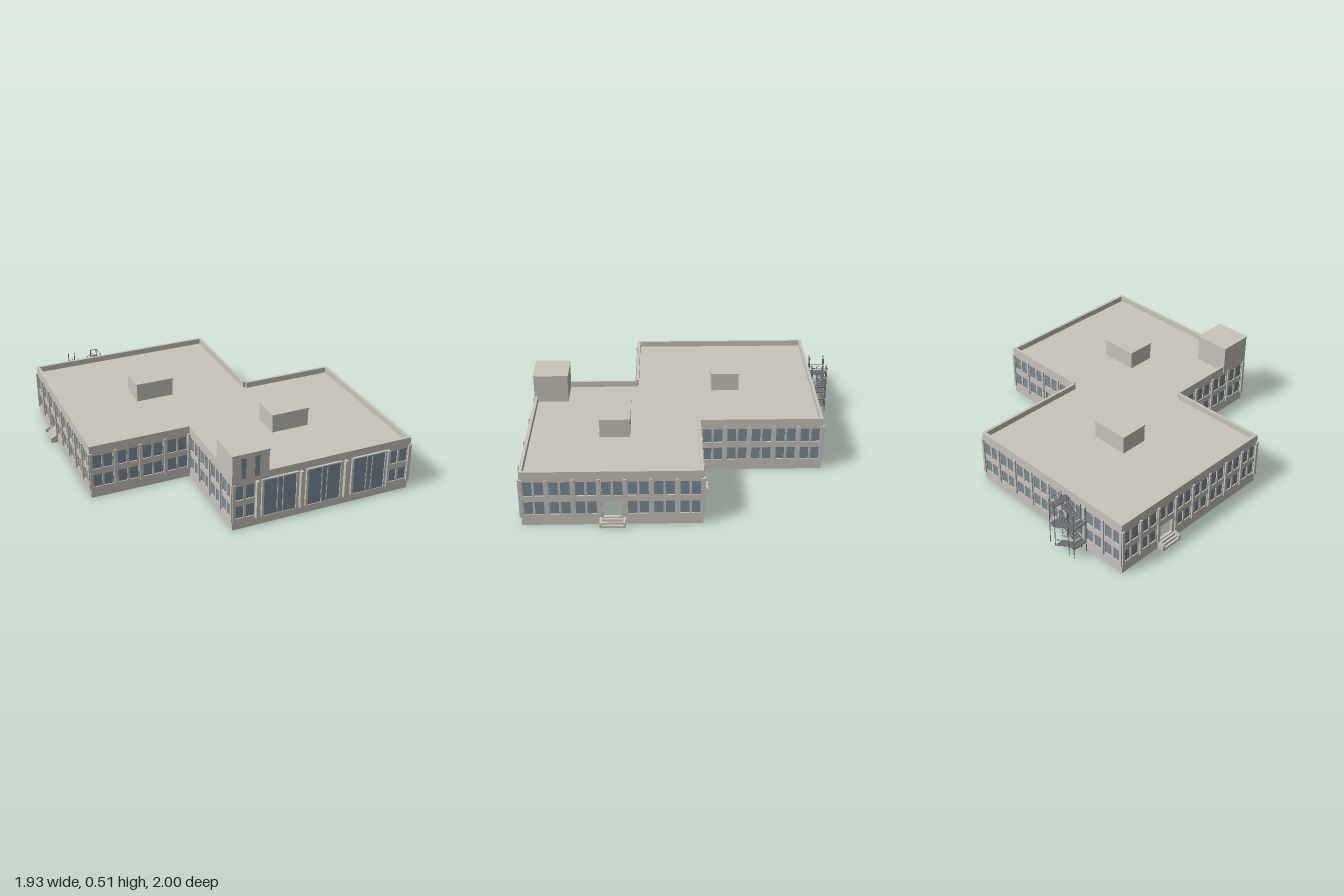
import * as THREE from 'three';

const mat = (name, color) => Object.assign(new THREE.MeshStandardMaterial({ color }), { name });
const stone = mat('stone', 0xc8c4bb);
const glass = mat('glass', 0x7a8d9b);
const steel = mat('steel', 0x6c6f74);
const roofMat = mat('roof', 0xc8c4bb);
roofMat.side = THREE.DoubleSide;

const T = 0.018; // wall thickness
const H = 0.36; // parapet height

// Footprint corners as [x, z], walked with the outside on the right hand
const plan = [[-0.92, 0.32], [-0.27, 0.32], [-0.27, 0.975], [0.92, 0.975],
  [0.92, -0.095], [0.305, -0.095], [0.305, -0.87], [-0.92, -0.87]];

// Box given by its low and high corners
function box(parent, name, material, x0, x1, y0, y1, z0, z1) {
  const m = new THREE.Mesh(new THREE.BoxGeometry(x1 - x0, y1 - y0, z1 - z0), material);
  m.position.set((x0 + x1) / 2, (y0 + y1) / 2, (z0 + z1) / 2);
  m.name = name;
  parent.add(m);
  return m;
}

// Thin bar between two points
function bar(parent, name, a, b, r = 0.0022) {
  const p = new THREE.Vector3(...a), q = new THREE.Vector3(...b);
  const d = q.clone().sub(p);
  const m = new THREE.Mesh(new THREE.CylinderGeometry(r, r, d.length(), 4), steel);
  m.position.copy(p).add(q).multiplyScalar(0.5);
  m.quaternion.setFromUnitVectors(new THREE.Vector3(0, 1, 0), d.normalize());
  m.name = name;
  parent.add(m);
}

function hole(shape, x0, x1, y0, y1) {
  const h = new THREE.Path();
  h.moveTo(x0, y0).lineTo(x0, y1).lineTo(x1, y1).lineTo(x1, y0).closePath();
  shape.holes.push(h);
}

// Entrance steps between two sloping cheeks, in wall space
function entranceSteps(parent, x0, x1) {
  const cheek = new THREE.Shape();
  cheek.moveTo(0, 0).lineTo(0.045, 0).lineTo(0.045, 0.035).lineTo(0.012, 0.05).lineTo(0, 0.05).closePath();
  const geo = new THREE.ExtrudeGeometry(cheek, { depth: 0.014, bevelEnabled: false });
  for (const x of [x0 + 0.014, x1]) {
    const m = new THREE.Mesh(geo, stone);
    m.rotation.y = -Math.PI / 2;
    m.position.x = x;
    m.name = 'stepCheek';
    parent.add(m);
  }
  for (let i = 0; i < 3; i++) {
    box(parent, 'step', stone, x0 + 0.014, x1 - 0.014, 0, 0.014 * (i + 1), 0, 0.043 - i * 0.014);
  }
}

// One wall: local x runs along it, local z points outwards
function buildWall(root, name, a, b, bays, { door = -1, halls = [] } = {}) {
  const g = new THREE.Group();
  g.name = name;
  const dx = b[0] - a[0], dz = b[1] - a[1], L = Math.hypot(dx, dz);
  g.position.set(a[0], 0, a[1]);
  g.rotation.y = Math.atan2(-dz, dx);
  root.add(g);

  const shape = new THREE.Shape();
  shape.moveTo(0, 0).lineTo(L, 0).lineTo(L, H).lineTo(0, H).closePath();

  bays.forEach(([s, e], i) => {
    const w = e - s, mid = (s + e) / 2;
    // Two windows per storey in each bay
    for (const [y0, y1] of [[0.072, 0.158], [0.198, 0.292]]) {
      if (i === door && y0 < 0.1) continue;
      for (const [x0, x1] of [[s + 0.1 * w, mid - 0.007], [mid + 0.007, e - 0.1 * w]]) {
        hole(shape, x0, x1, y0, y1);
        box(g, 'window', glass, x0, x1, y0, y1, -0.011, -0.007);
      }
    }
    // Open doorway with steps
    if (i === door) {
      hole(shape, s + 0.02, e - 0.026, 0.05, 0.155);
      entranceSteps(g, s, e);
    }
    // Pilasters at bay edges
    for (const x of [s, e]) {
      if (x === e && i < bays.length - 1 && Math.abs(bays[i + 1][0] - e) < 0.01) continue;
      const c = Math.min(Math.max(x, 0.006), L - 0.006);
      box(g, 'pilaster', stone, c - 0.009, c + 0.009, 0.055, 0.31, -0.004, 0.01);
    }
  });

  // Tall projecting hall windows with mullions, sill and lintel
  for (const [s, e] of halls) {
    hole(shape, s, e, 0.06, 0.305);
    box(g, 'hallWindow', glass, s, e, 0.06, 0.305, 0.002, 0.011);
    box(g, 'hallLintel', stone, s - 0.006, e + 0.006, 0.305, 0.312, -0.004, 0.015);
    box(g, 'hallSill', stone, s - 0.006, e + 0.006, 0.052, 0.06, -0.004, 0.015);
    const m = (s + e) / 2;
    for (const x of [m - 0.018, m + 0.018]) box(g, 'hallMullion', stone, x - 0.003, x + 0.003, 0.06, 0.305, 0, 0.014);
    for (const x of [s - 0.009, e + 0.009]) box(g, 'hallSidePier', stone, x - 0.007, x + 0.007, 0.055, 0.31, -0.004, 0.015);
  }

  const geo = new THREE.ExtrudeGeometry(shape, { depth: T, bevelEnabled: false });
  const m = new THREE.Mesh(geo, stone);
  m.position.z = -T;
  m.name = name + 'Shell';
  g.add(m);
  return g;
}

const evenBays = (L, n) => Array.from({ length: n }, (_, i) => [(L * i) / n, (L * (i + 1)) / n]);

// Switchback steel stair on the back wall
function fireEscape(root) {
  const g = new THREE.Group();
  g.name = 'fireEscape';
  root.add(g);
  const xl = -0.66, xr = -0.45, zi = -0.9, zo = -0.998, zm = -0.949;
  const xa = -0.615, xb = -0.495;
  for (const x of [xl + 0.003, xa, xb, xr - 0.003]) {
    for (const z of [zi, zo]) bar(g, 'post', [x, 0.02, z], [x, 0.352, z], 0.003);
  }
  box(g, 'roofBridge', steel, xb, xr, 0.305, 0.311, zi, -0.865);
  const levels = [0.308, 0.236, 0.164, 0.092, 0.022];
  levels.forEach((y, i) => {
    const right = i % 2 === 0;
    const x0 = right ? xb : xl, x1 = right ? xr : xa;
    if (i < 4) {
      box(g, 'landing', steel, x0, x1, y - 0.003, y + 0.003, zo, zi);
      const xe = right ? xr : xl;
      bar(g, 'landingRail', [xe, y + 0.042, zi], [xe, y + 0.042, zo]);
      bar(g, 'landingRail', [x0, y + 0.042, zo], [x1, y + 0.042, zo]);
      // Flight down to the next landing
      const yn = levels[i + 1];
      const [xs, xf] = right ? [xb, xa] : [xa, xb];
      const [z0, z1] = right ? [zm, zi] : [zo, zm];
      for (let k = 1; k < 8; k++) {
        const t = k / 8, x = xs + (xf - xs) * t, yy = y + (yn - y) * t;
        box(g, 'tread', steel, x - 0.008, x + 0.008, yy - 0.0015, yy + 0.0015, z0, z1);
      }
      for (const z of [z0, z1]) {
        bar(g, 'stringer', [xs, y, z], [xf, yn, z], 0.003);
        bar(g, 'handrail', [xs, y + 0.042, z], [xf, yn + 0.042, z]);
      }
    }
  });
}

export function createModel() {
  const root = new THREE.Group();
  root.name = 'building';

  // Walls
  const specs = [
    ['westFrontWall', 4], ['innerFrontWall', 4], ['hallFrontWall', 0], ['eastWall', 7, 3],
    ['innerBackWall', 4, 2], ['innerEastWall', 5], ['backWall', 8], ['westWall', 8, 2],
  ];
  specs.forEach(([name, n, door], i) => {
    const a = plan[i], b = plan[(i + 1) % plan.length];
    const L = Math.hypot(b[0] - a[0], b[1] - a[1]);
    if (n) buildWall(root, name, a, b, evenBays(L, n), { door });
    else {
      const g = buildWall(root, name, a, b, [[0, 0.158], [1.03, L]],
        { halls: [[0.198, 0.405], [0.488, 0.7], [0.795, 1.005]] });
      for (const x of [0.152, 0.44, 0.737, 1.03]) box(g, 'hallPier', stone, x - 0.008, x + 0.008, 0.055, 0.31, -0.004, 0.025);
    }
  });

  // Roof deck behind the parapet
  const deck = new THREE.Shape(plan.map(([x, z]) => new THREE.Vector2(x * 0.995, -z * 0.995)));
  const roof = new THREE.Mesh(new THREE.ShapeGeometry(deck), roofMat);
  roof.rotation.x = -Math.PI / 2;
  roof.position.y = 0.322;
  roof.name = 'roofDeck';
  root.add(roof);

  // Rooftop plant rooms and corner tower, each with a thin cap
  const block = (name, x0, x1, z0, z1, y0, y1) => {
    box(root, name, stone, x0 + 0.004, x1 - 0.004, y0, y1 - 0.008, z0 + 0.004, z1 - 0.004);
    box(root, name + 'Cap', stone, x0, x1, y1 - 0.008, y1, z0, z1);
  };
  block('westPlantRoom', -0.435, -0.18, -0.37, -0.18, 0.322, 0.445);
  block('eastPlantRoom', 0.195, 0.45, 0.34, 0.535, 0.322, 0.445);
  block('tower', -0.28, -0.038, 0.755, 0.984, 0.312, 0.508);
  for (const x of [-0.205, -0.118]) box(root, 'towerWindow', glass, x - 0.015, x + 0.015, 0.345, 0.48, 0.977, 0.982);

  fireEscape(root);
  return root;
}
